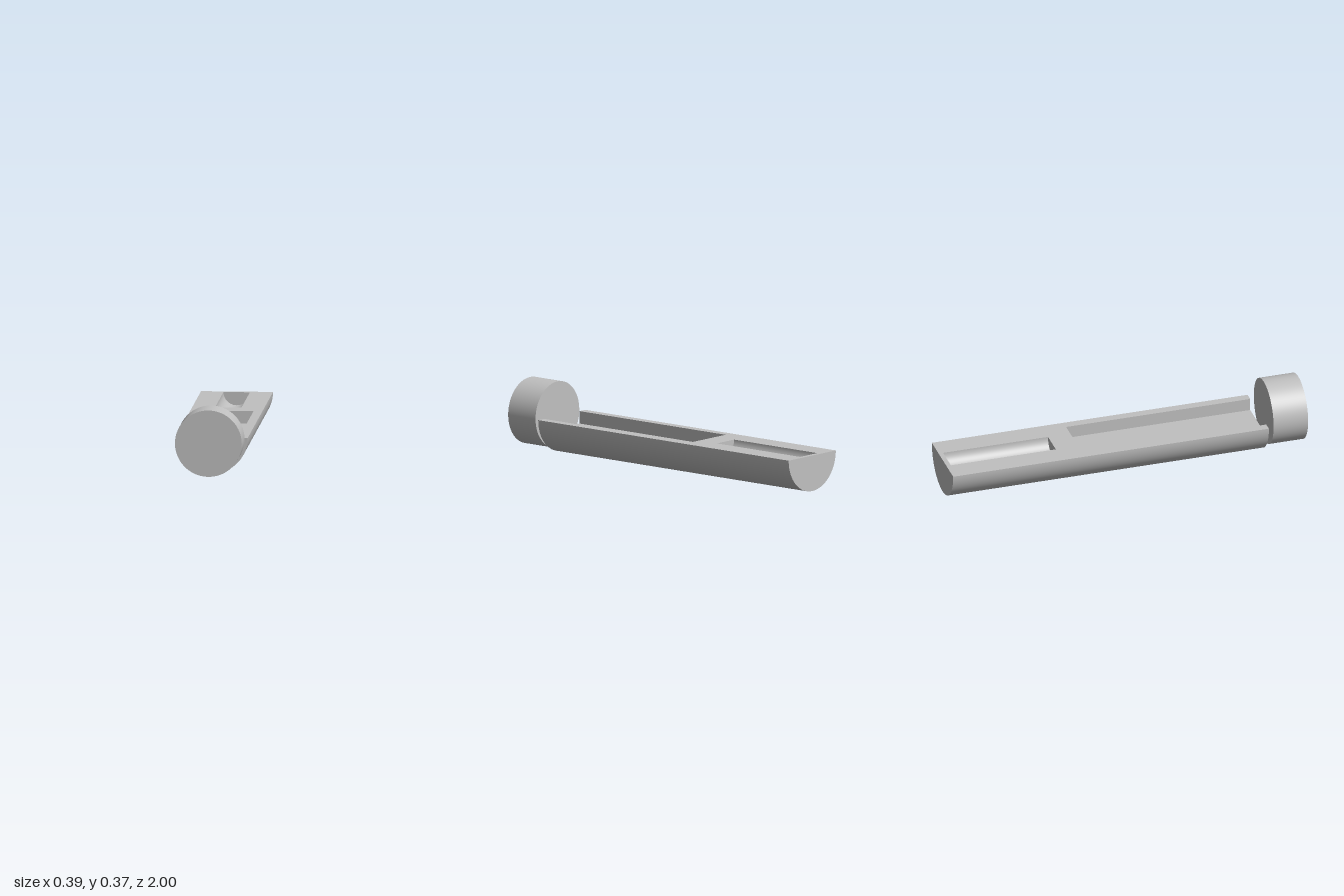
import * as THREE from 'three';

const R = 0.194;                       // body radius, flat side up at TOP
const TOP = 0.194;
const BACK = -1, FRONT = 0.775;
const TROUGH = { half: 0.146, depth: 0.068, back: -0.26 };
const GROOVE = { r: 0.071, back: -0.975, front: -0.385 };

// Points of a lower half circle, from left (-r) through the bottom to right (+r)
function lowerArc(r, n) {
  return Array.from({ length: n + 1 }, (_, i) => {
    const a = Math.PI + (Math.PI * i) / n;
    return new THREE.Vector2(r * Math.cos(a), r * Math.sin(a));
  });
}

// Surface swept along z from a profile; it faces the left of the direction of travel
function sweep(points, z0, z1) {
  const n = points.length;
  const geo = new THREE.PlaneGeometry(1, 1, n - 1, 1);
  const pos = geo.attributes.position;
  for (let i = 0; i < pos.count; i++) {
    const p = points[i % n];
    pos.setXYZ(i, p.x, p.y, i < n ? z0 : z1);
  }
  geo.computeVertexNormals();
  return geo;
}

// Flat end face at a given z, facing the front or the back
function endFace(points, z, facesBack = false) {
  const geo = new THREE.ShapeGeometry(new THREE.Shape(points));
  if (facesBack) geo.rotateY(Math.PI);
  return geo.translate(0, 0, z);
}

export function createModel() {
  const model = new THREE.Group();
  const grey = new THREE.MeshStandardMaterial({ color: 0xc0c0c0 });
  grey.name = 'plain grey';

  const body = new THREE.Group();
  body.name = 'halfRoundBody';
  body.position.y = TOP;
  model.add(body);

  const add = (parent, name, geo) => {
    const mesh = new THREE.Mesh(geo, grey);
    mesh.name = name;
    parent.add(mesh);
    return mesh;
  };
  const v = (x, y) => new THREE.Vector2(x, y);

  // Rounded underside and closed back end
  const hull = lowerArc(R, 64);
  add(body, 'roundedUnderside', sweep([...hull].reverse(), BACK, FRONT));
  add(body, 'backEnd', endFace(hull, BACK, true));

  // Front end, with the mouth of the trough cut out
  const { half: w, depth: d, back: tb } = TROUGH;
  add(body, 'frontEnd', endFace([...hull, v(w, 0), v(w, -d), v(-w, -d), v(-w, 0)], FRONT));

  // Flat deck with the trough notch and the groove opening (shape y is -z)
  const deck = new THREE.Shape([
    v(-R, -FRONT), v(-w, -FRONT), v(-w, -tb), v(w, -tb),
    v(w, -FRONT), v(R, -FRONT), v(R, -BACK), v(-R, -BACK),
  ]);
  const { r, back: gb, front: gf } = GROOVE;
  deck.holes.push(new THREE.Path([v(-r, -gf), v(-r, -gb), v(r, -gb), v(r, -gf)]));
  add(body, 'deck', new THREE.ShapeGeometry(deck).rotateX(-Math.PI / 2));

  // Square trough, open at the front
  add(body, 'troughFloor', sweep([v(-w, -d), v(w, -d)], tb, FRONT));
  add(body, 'troughLeftWall', sweep([v(w, -d), v(w, 0)], tb, FRONT));
  add(body, 'troughRightWall', sweep([v(-w, 0), v(-w, -d)], tb, FRONT));
  add(body, 'troughBackWall', endFace([v(-w, -d), v(w, -d), v(w, 0), v(-w, 0)], tb));

  // Half-round groove with flat ends
  const arc = lowerArc(r, 40);
  add(body, 'grooveSurface', sweep(arc, gb, gf));
  add(body, 'grooveBackEnd', endFace(arc, gb));
  add(body, 'grooveFrontEnd', endFace(arc, gf, true));

  // Separate round cap in front of the body
  const cap = add(model, 'endCap', new THREE.CylinderGeometry(0.18, 0.18, 0.194, 96).rotateX(Math.PI / 2));
  cap.position.set(0, TOP, 0.903);

  return model;
}
